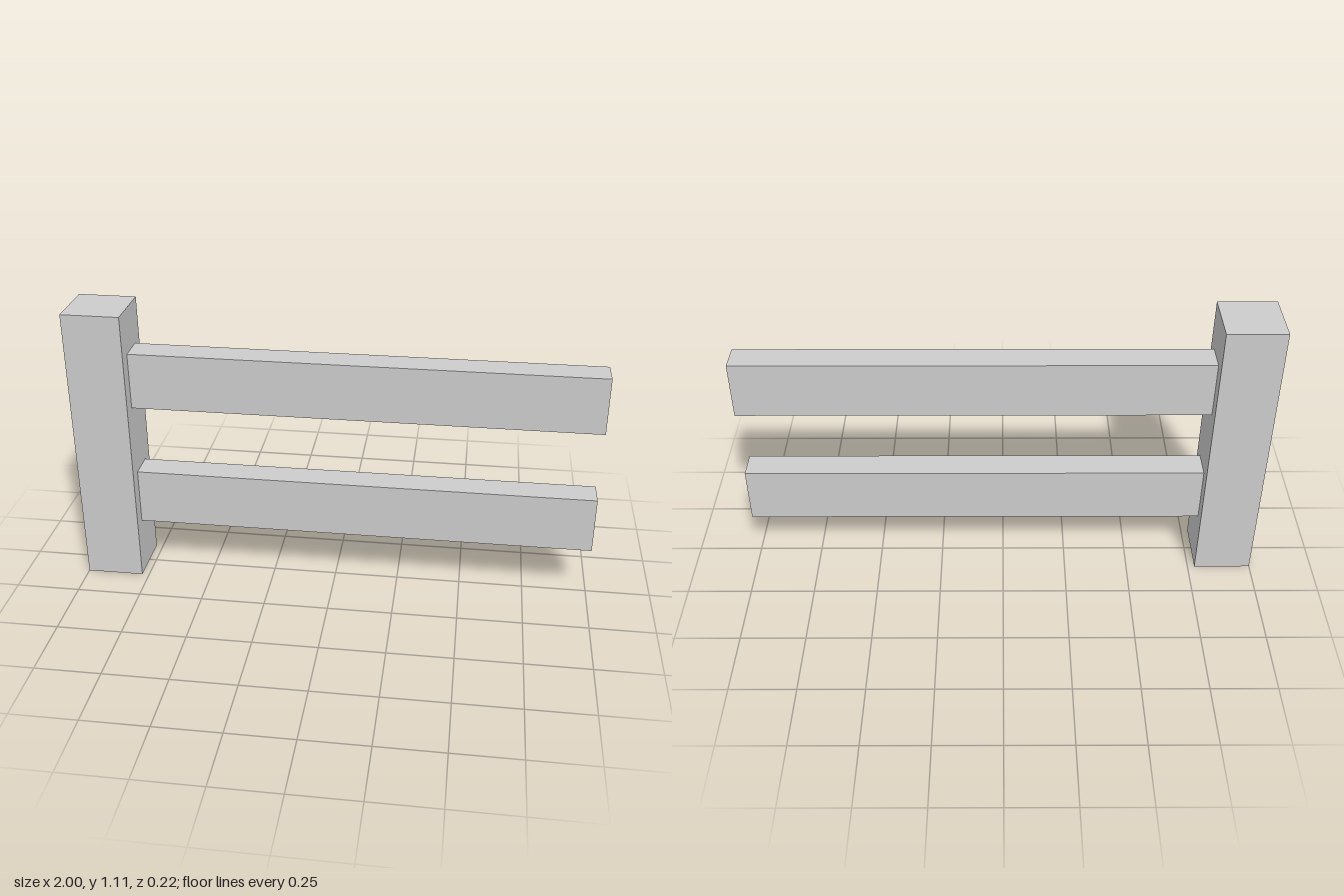
import * as THREE from 'three';

export function createModel() {
  const group = new THREE.Group();
  const grey = new THREE.MeshStandardMaterial({ color: 0xcccccc });
  grey.name = 'light grey';

  // Box given by its left end, bottom and size, centred on z = 0
  const addBox = (name, x, y, width, height, depth) => {
    const mesh = new THREE.Mesh(new THREE.BoxGeometry(width, height, depth), grey);
    mesh.name = name;
    mesh.position.set(x + width / 2, y + height / 2, 0);
    group.add(mesh);
  };

  // Square post at one end
  const post = 0.222;
  addBox('post', -1, 0, post, 1.111, post);

  // Two rails butting against the post
  addBox('lowerRail', -1 + post, 0.222, 2 - post, 0.222, 0.111);
  addBox('upperRail', -1 + post, 0.722, 2 - post, 0.222, 0.111);

  return group;
}
